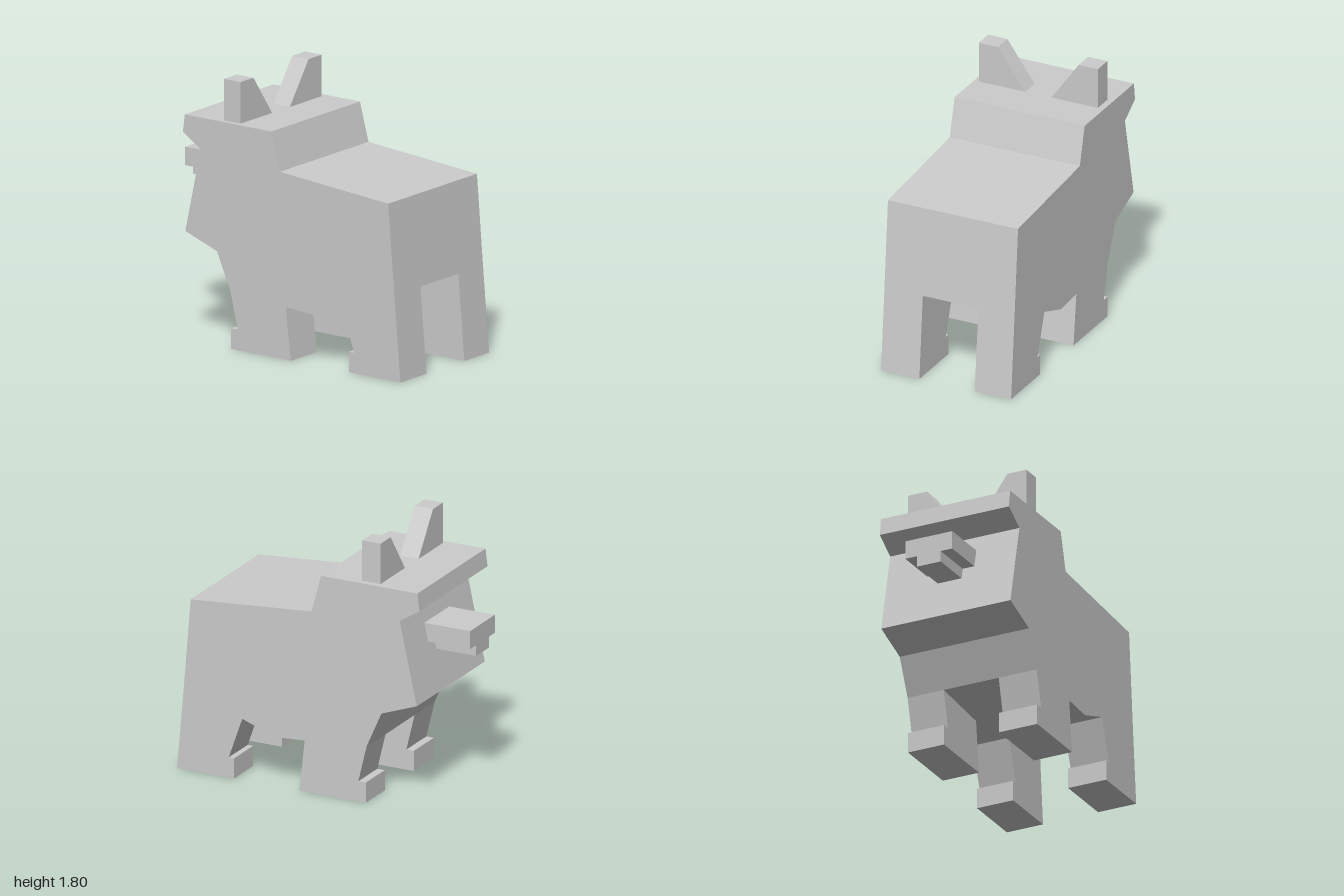
import * as THREE from 'three';

const material = new THREE.MeshStandardMaterial({ color: 0xcccccc, flatShading: true });

// Extrude a side profile of [z, y] points across the body from x0 to x1
function slab(name, profile, x0, x1) {
  const shape = new THREE.Shape(profile.map(([z, y]) => new THREE.Vector2(-z, y)));
  const geometry = new THREE.ExtrudeGeometry(shape, { depth: x1 - x0, bevelEnabled: false });
  geometry.rotateY(Math.PI / 2).translate(x0, 0, 0);
  const mesh = new THREE.Mesh(geometry, material);
  mesh.name = name;
  return mesh;
}

// Box given by its lower and upper corners
function block(name, [x0, y0, z0], [x1, y1, z1]) {
  const geometry = new THREE.BoxGeometry(x1 - x0, y1 - y0, z1 - z0);
  geometry.translate((x0 + x1) / 2, (y0 + y1) / 2, (z0 + z1) / 2);
  const mesh = new THREE.Mesh(geometry, material);
  mesh.name = name;
  return mesh;
}

// Ear: upright outer edge, sloping inner edge
function ear(name, outer, tip, inner) {
  const shape = new THREE.Shape([
    new THREE.Vector2(outer, 1.52), new THREE.Vector2(inner, 1.52),
    new THREE.Vector2(tip, 1.8), new THREE.Vector2(outer, 1.8),
  ]);
  const geometry = new THREE.ExtrudeGeometry(shape, { depth: 0.135, bevelEnabled: false });
  geometry.translate(0, 0, -0.475);
  const mesh = new THREE.Mesh(geometry, material);
  mesh.name = name;
  return mesh;
}

export function createModel() {
  const group = new THREE.Group();
  group.name = 'animal';

  // Body and head share one side profile, closed by the belly line
  group.add(slab('bodyAndHead', [
    [0.95, 0.58], [0.9, 1.19], [0.01, 1.26], [-0.06, 1.52], [-0.77, 1.52], [-0.785, 1.4],
    [-0.64, 1.305], [-0.765, 0.735], [-0.505, 0.64], [-0.395, 0.39], [0.06, 0.355],
    [0.28, 0.34], [0.52, 0.425],
  ], -0.475, 0.475));

  // Legs with stepped paws
  const hindLeg = [[0.95, 0.58], [0.52, 0.425], [0.62, 0.14], [0.58, 0.14], [0.58, 0], [1, 0]];
  const foreLeg = [[0.06, 0.355], [-0.395, 0.39], [-0.335, 0.14], [-0.39, 0.14], [-0.39, 0], [0.1, 0]];
  for (const [side, x0, x1] of [['left', 0.21, 0.475], ['right', -0.475, -0.195]]) {
    group.add(slab(side + 'HindLeg', hindLeg, x0, x1));
    group.add(slab(side + 'ForeLeg', foreLeg, x0, x1));
  }

  // Muzzle with a narrower jaw beneath
  group.add(block('muzzle', [-0.17, 1.075, -1], [0.175, 1.2, -0.6]));
  group.add(block('jaw', [-0.085, 1, -1], [0.09, 1.075, -0.6]));

  // Ears
  group.add(ear('leftEar', 0.43, 0.29, 0.09));
  group.add(ear('rightEar', -0.44, -0.3, -0.1));

  return group;
}
